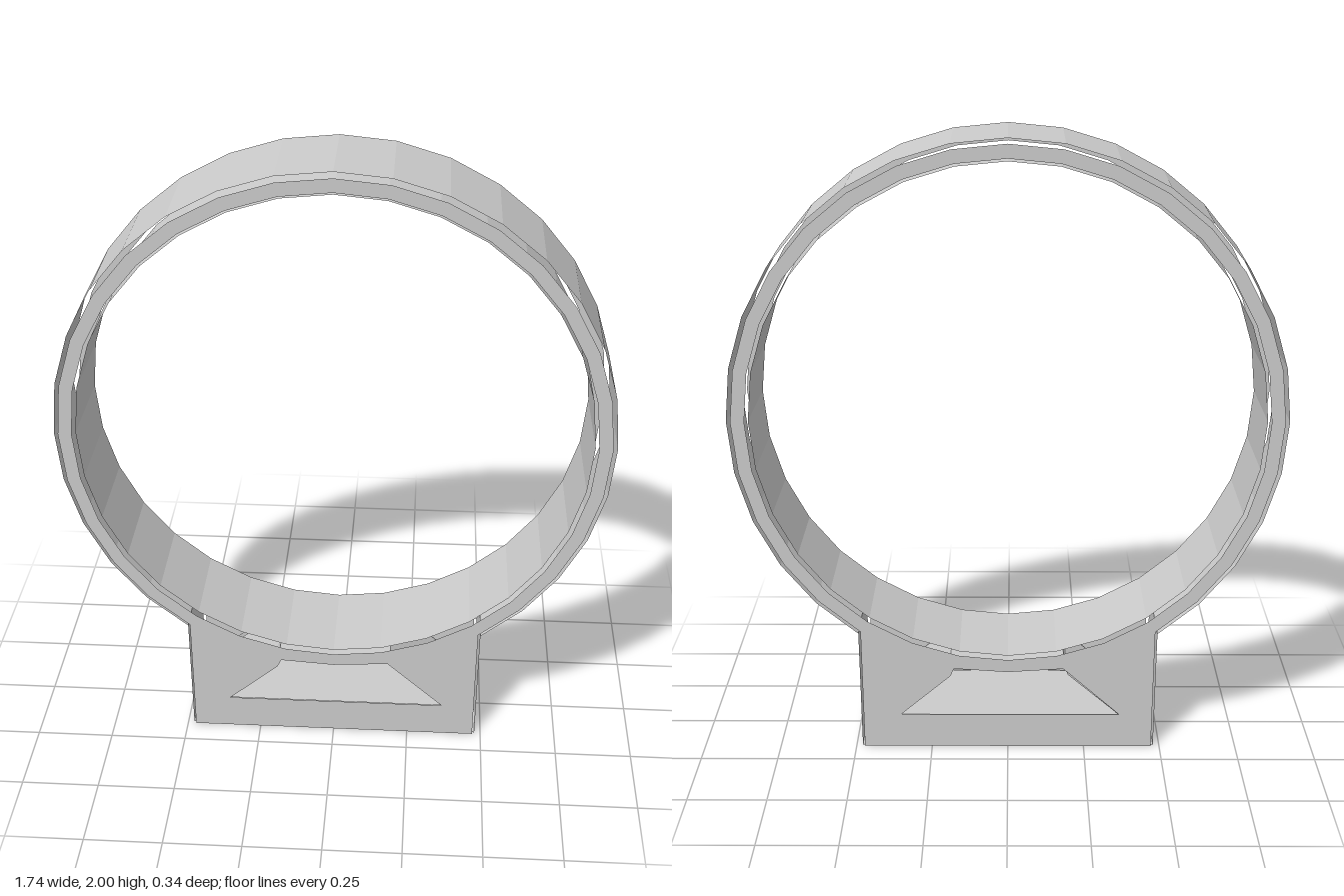
import * as THREE from 'three';

const CY = 1.13, STEP = Math.PI / 16; // ring centre height, 32-sided ring
const HALF = 0.158, FACE_Z = 0.17;

const ringPoint = (r, i) => new THREE.Vector2(r * Math.cos(i * STEP), CY + r * Math.sin(i * STEP));

// Full ring loop
function circle(r) {
  return Array.from({ length: 32 }, (_, i) => ringPoint(r, i));
}

// Ring outline that opens at the bottom into the rectangular base
function outline(r, halfWidth, bottom) {
  const pts = [new THREE.Vector2(-halfWidth, bottom), new THREE.Vector2(halfWidth, bottom)];
  for (let i = -5; i <= 21; i++) pts.push(ringPoint(r, i));
  return pts;
}

// Trapezoid window in the base, grown by g
function windowLoop(g) {
  return [
    [-0.35 - 2 * g, 0.12 - g], [0.365 + 2 * g, 0.12 - g], [0.18 + g, 0.287 + g],
    [0, 0.275 + g], [-0.175 - g, 0.287 + g], [-0.187 - g, 0.26],
  ].map(([x, y]) => new THREE.Vector2(x, y));
}

// Flat-sided band running front to back along a closed loop
function band(loop) {
  const pos = [];
  loop.forEach((a, i) => {
    const b = loop[(i + 1) % loop.length];
    pos.push(a.x, a.y, HALF, a.x, a.y, -HALF, b.x, b.y, -HALF);
    pos.push(a.x, a.y, HALF, b.x, b.y, -HALF, b.x, b.y, HALF);
  });
  const geo = new THREE.BufferGeometry();
  geo.setAttribute('position', new THREE.Float32BufferAttribute(pos, 3));
  geo.computeVertexNormals();
  return geo;
}

export function createModel() {
  const group = new THREE.Group();
  const material = new THREE.MeshStandardMaterial({
    color: 0xcccccc, flatShading: true, side: THREE.DoubleSide,
  });
  const add = (name, geo) => {
    const mesh = new THREE.Mesh(geo, material);
    mesh.name = name;
    group.add(mesh);
    return mesh;
  };

  // Walls: outside of ring and base, inside of ring, lining of the base window
  add('outerWall', band(outline(0.87, 0.48, 0)));
  add('innerRingWall', band(circle(0.802).reverse()));
  add('windowLining', band(windowLoop(0.008).reverse()));

  // Thin face plates standing slightly clear of the walls
  const plate = new THREE.Shape(outline(0.855, 0.472, 0.003));
  plate.holes.push(new THREE.Path(circle(0.812)), new THREE.Path(windowLoop(0)));
  const plateGeo = new THREE.ShapeGeometry(plate);
  add('frontPlate', plateGeo).position.z = FACE_Z;
  const back = add('backPlate', plateGeo.clone().rotateY(Math.PI).scale(1, 1, 1));
  back.position.z = -FACE_Z;

  return group;
}
